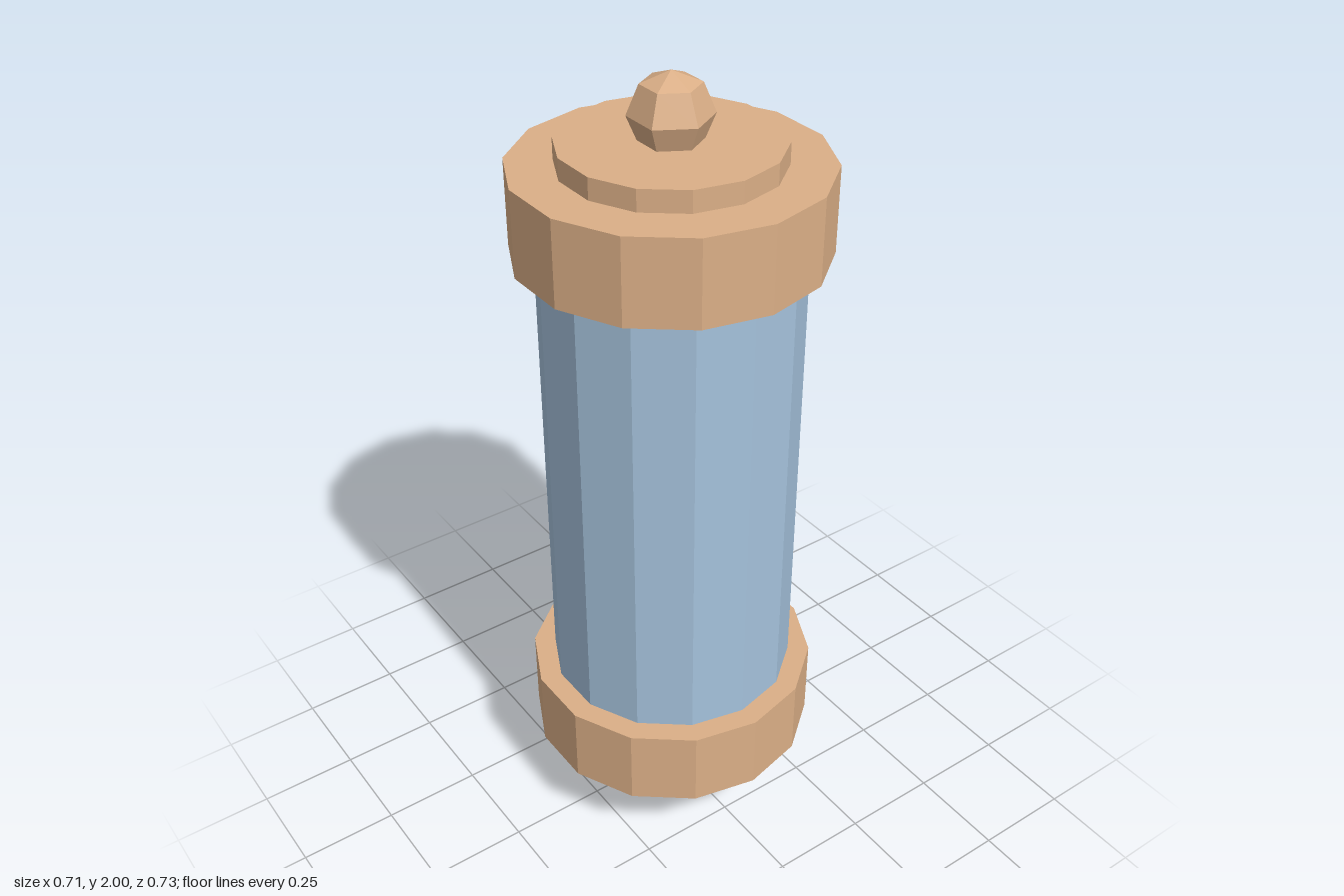
import * as THREE from 'three';

export function createModel() {
  const model = new THREE.Group();
  model.name = 'capsule';

  const tan = new THREE.MeshStandardMaterial({ color: 0xdbaf87, flatShading: true });
  tan.name = 'tan';
  const blue = new THREE.MeshStandardMaterial({ color: 0xa5c2dc, flatShading: true });
  blue.name = 'pale blue';

  const SIDES = 14;
  const MIDDLE = 1;

  function add(parent, name, geometry, material, y) {
    const mesh = new THREE.Mesh(geometry, material);
    mesh.name = name;
    mesh.position.y = y;
    parent.add(mesh);
    return mesh;
  }

  // Upright faceted drum between two heights
  function drum(parent, name, radius, y0, y1, material) {
    const geometry = new THREE.CylinderGeometry(radius, radius, y1 - y0, SIDES);
    return add(parent, name, geometry, material, (y0 + y1) / 2);
  }

  // Central tube, running into both collars
  drum(model, 'tube', 0.31, MIDDLE - 0.6, MIDDLE + 0.6, blue);

  // Matching ends: collar, stepped disc and faceted knob
  for (const end of ['top', 'bottom']) {
    const cap = new THREE.Group();
    cap.name = end + 'Cap';
    cap.position.y = MIDDLE;
    if (end === 'bottom') cap.rotation.x = Math.PI;
    drum(cap, 'collar', 0.365, 0.587, 0.795, tan);
    drum(cap, 'disc', 0.256, 0.78, 0.847, tan);
    const knob = add(cap, 'knob', new THREE.SphereGeometry(0.097, 6, 4), tan, 0.903);
    knob.rotation.y = Math.PI / 6;
    model.add(cap);
  }

  return model;
}
